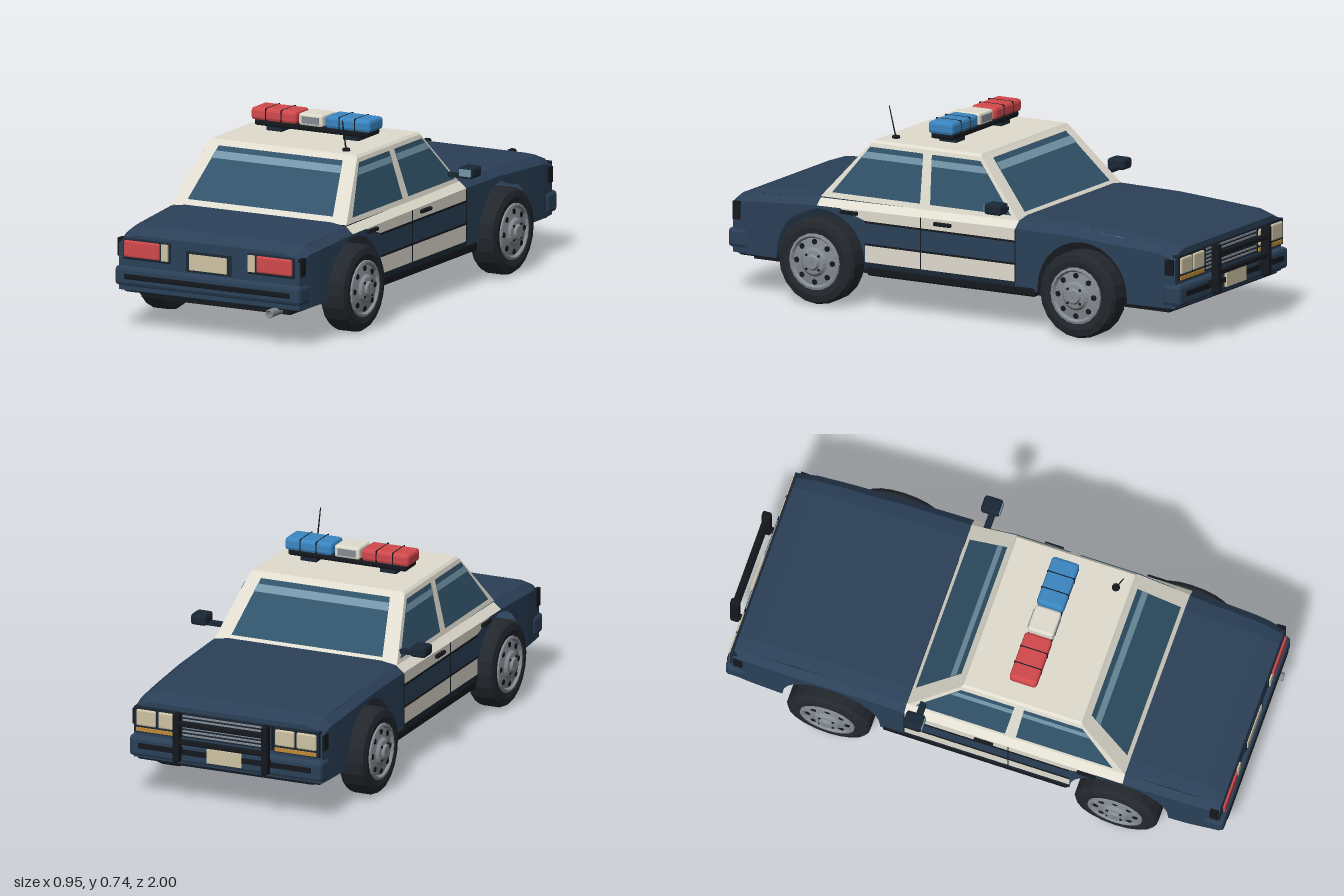
import * as THREE from 'three';
import { RoundedBoxGeometry } from 'three/addons/geometries/RoundedBoxGeometry.js';

const NAVY = 0x2b4058, DARK = 0x1a2735, BLACK = 0x14181d, WHITE = 0xe0dccf, GLASS = 0x31536a,
  SHINE = 0x7396a9, CREAM = 0xcfc3a4, RED = 0xd2494c, BLUE = 0x3a86c2, GREY = 0x858c92, AMBER = 0xc08a35;

const mats = {};
const mat = (color) => (mats[color] ??= new THREE.MeshStandardMaterial({ color, flatShading: true, side: THREE.DoubleSide }));

// Piecewise linear lookup in [position, value] pairs
function lookup(pts, t) {
  let i = 1;
  while (i < pts.length - 1 && t > pts[i][0]) i++;
  const [a, b] = [pts[i - 1], pts[i]];
  return THREE.MathUtils.lerp(a[1], b[1], THREE.MathUtils.clamp((t - a[0]) / (b[0] - a[0]), 0, 1));
}

export function createModel() {
  const car = new THREE.Group();
  car.name = 'patrolCar';

  const add = (name, color, geo, x = 0, y = 0, z = 0, parent = car) => {
    const m = new THREE.Mesh(geo, mat(color));
    m.name = name;
    m.position.set(x, y, z);
    parent.add(m);
    return m;
  };
  // Box given by its limits; c > 0 chamfers its edges
  const box = (name, color, [x0, x1], [y0, y1], [z0, z1], c = 0) => {
    const s = [x1 - x0, y1 - y0, z1 - z0];
    const geo = c ? new RoundedBoxGeometry(...s, 1, c) : new THREE.BoxGeometry(...s);
    return add(name, color, geo, (x0 + x1) / 2, (y0 + y1) / 2, (z0 + z1) / 2);
  };
  const boxPair = (name, color, [x0, x1], y, z, c) => {
    box(name + 'Left', color, [x0, x1], y, z, c);
    box(name + 'Right', color, [-x1, -x0], y, z, c);
  };
  // Faceted surface through rows of points
  const skin = (name, color, rows) => {
    const p = [];
    for (let i = 0; i + 1 < rows.length; i++)
      for (let j = 0; j + 1 < rows[i].length; j++) {
        const a = rows[i][j], b = rows[i][j + 1], c = rows[i + 1][j + 1], d = rows[i + 1][j];
        p.push(...a, ...b, ...c, ...a, ...c, ...d);
      }
    const geo = new THREE.BufferGeometry();
    geo.setAttribute('position', new THREE.Float32BufferAttribute(p, 3));
    geo.computeVertexNormals();
    return add(name, color, geo);
  };
  const flip = (rows) => rows.map((r) => r.map(([x, y, z]) => [-x, y, z]).reverse());
  const skinPair = (name, color, rows) => {
    skin(name + 'Left', color, rows);
    skin(name + 'Right', color, flip(rows));
  };

  // Curves that run along the body
  const AXLES = [0.585, -0.535], ARCH = 0.19, FRONT = -0.925, REAR = 0.97, DOOR0 = -0.25, DOOR1 = 0.393, CAB = 0.6;
  const width = (z) => lookup([[FRONT, 0.382], [-0.8, 0.392], [-0.25, 0.4], [0.6, 0.4], [0.85, 0.393], [REAR, 0.382]], z);
  const topY = (z) => lookup([[FRONT, 0.368], [-0.85, 0.39], [-0.5, 0.412], [-0.25, 0.415], [0.6, 0.405], [0.9, 0.385], [REAR, 0.36]], z);
  const side = (f) => (z) => [width(z), f(z), z];
  const bottom = side((z) => {
    const d = Math.min(...AXLES.map((a) => Math.abs(z - a)));
    return d > ARCH + 1e-6 ? 0.15 : 0.17 + Math.sqrt(Math.max(0, ARCH * ARCH - d * d));
  });
  const shoulder = side((z) => topY(z) - 0.035);
  const topEdge = (z) => [width(z) - 0.03, topY(z) - 0.01, z];
  const level = (y) => side(() => y);
  const sweep = side((z) => Math.min(topY(z) - 0.035, 0.335 + 0.33 * (z - DOOR1)));

  const stations = [FRONT, -0.85, -0.5, DOOR0, DOOR1, 0.5, CAB, 0.85, 0.9, REAR];
  for (const a of AXLES) {
    for (let k = 0; k <= 14; k++) stations.push(a + ARCH * Math.cos((Math.PI * k) / 14));
    stations.push(a - ARCH - 0.001, a + ARCH + 0.001);
  }
  stations.sort((a, b) => a - b);
  const band = (name, color, z0, z1, lower, upper) => {
    const zs = stations.filter((z) => z >= z0 && z <= z1);
    skinPair(name, color, [zs.map(lower), zs.map(upper)]);
  };

  // Body sides with open wheel arches
  band('frontFender', NAVY, FRONT, DOOR0, bottom, shoulder);
  band('frontFenderShoulder', NAVY, FRONT, DOOR0, shoulder, topEdge);
  band('doorSill', DARK, DOOR0, DOOR1, bottom, level(0.18));
  band('doorLower', WHITE, DOOR0, DOOR1, level(0.18), level(0.245));
  band('doorStripe', NAVY, DOOR0, DOOR1, level(0.245), level(0.335));
  band('doorUpper', WHITE, DOOR0, DOOR1, level(0.335), shoulder);
  band('quarterPanel', NAVY, DOOR1, CAB, bottom, sweep);
  band('quarterSweep', WHITE, DOOR1, CAB, sweep, shoulder);
  band('beltline', WHITE, DOOR0, CAB, shoulder, topEdge);
  band('rearFender', NAVY, CAB, REAR, bottom, shoulder);
  band('rearFenderShoulder', NAVY, CAB, REAR, shoulder, topEdge);

  // Hood and trunk lid, slightly crowned, and the end panels
  const deck = (z) => [topEdge(z), [0.31, topY(z), z], [-0.31, topY(z), z], ...flip([[topEdge(z)]])[0]];
  skin('hood', NAVY, [DOOR0, -0.5, -0.85, FRONT].map(deck));
  skin('trunkLid', NAVY, [REAR, 0.9, CAB].map(deck));
  for (const [name, z] of [['nosePanel', FRONT], ['tailPanel', REAR]]) {
    const col = [bottom(z), shoulder(z), topEdge(z), [0.31, topY(z), z]];
    skin(name, NAVY, [col, col.map(([x, y, w]) => [-x, y, w])]);
  }

  // Underside
  box('floorPan', BLACK, [-0.315, 0.315], [0.117, 0.15], [-0.86, 0.92]);
  box('rearValance', DARK, [-0.375, 0.375], [0.138, 0.18], [0.78, 0.955], 0.012);
  box('frontValance', DARK, [-0.375, 0.375], [0.138, 0.18], [-0.92, -0.73], 0.012);
  boxPair('rockerRail', BLACK, [0.37, 0.402], [0.13, 0.165], [-0.335, 0.385], 0.008);

  // Cabin
  const frontZ = (y) => -0.25 + ((y - 0.4) / 0.22) * 0.2;
  const rearZ = (y) => 0.6 - ((y - 0.4) / 0.22) * 0.19;
  const cabX = (y) => 0.372 - ((y - 0.4) / 0.22) * 0.06;
  const ring = (y) => [[1, frontZ], [1, rearZ], [-1, rearZ], [-1, frontZ], [1, frontZ]].map(([s, f]) => [s * cabX(y), y, f(y)]);
  skin('cabinFrame', WHITE, [0.4, 0.612].map(ring));
  const roofRim = ring(0.612), roofTop = roofRim.map(([x, , z]) => [x * 0.97, 0.621, 0.18 + (z - 0.18) * 0.97]);
  skin('roofEdge', WHITE, [roofRim, roofTop]);
  skin('roof', WHITE, [[roofTop[0], roofTop[1]], [roofTop[3], roofTop[2]]]);

  // Windows: each is a pane plus a pale reflection stripe
  const pane = (make, name, place, lo, hi) => {
    const strip = (ys, off) => ys.map((y) => [place(lookup(lo, y), y, off), place(lookup(hi, y), y, off)]);
    make(name, GLASS, strip([0.42, 0.598], 0.004));
    make(name + 'Shine', SHINE, strip([0.556, 0.58], 0.006));
  };
  const half = (s) => [[0.42, s * 0.307], [0.598, s * 0.262]];
  pane(skin, 'windshield', (x, y, o) => [x, y + o, frontZ(y) - o], half(-1), half(1));
  pane(skin, 'rearWindow', (x, y, o) => [x, y + o, rearZ(y) + o], half(-1), half(1));
  const onSide = (z, y, o) => [cabX(y) + o, y, z];
  pane(skinPair, 'frontSideWindow', onSide, [[0.42, -0.215], [0.598, -0.055]], [[0.42, 0.132], [0.598, 0.153]]);
  pane(skinPair, 'rearSideWindow', onSide, [[0.42, 0.175], [0.598, 0.19]], [[0.42, 0.552], [0.598, 0.417]]);

  // Door trim, seams and handles
  for (const y of [0.244, 0.328]) boxPair('doorTrim', BLACK, [0.398, 0.403], [y, y + 0.007], [DOOR0, DOOR1]);
  for (const z of [-0.25, 0.155]) boxPair('doorSeam', BLACK, [0.398, 0.402], [0.18, 0.375], [z - 0.002, z + 0.002]);
  for (const z of [0.06, 0.46]) boxPair('doorHandle', BLACK, [0.395, 0.412], [0.352, 0.366], [z - 0.037, z + 0.037], 0.004);

  // Wing mirrors
  boxPair('mirrorArm', DARK, [0.355, 0.44], [0.434, 0.449], [-0.2, -0.175]);
  boxPair('mirrorHousing', DARK, [0.415, 0.477], [0.438, 0.48], [-0.232, -0.16], 0.01);
  boxPair('mirrorGlass', SHINE, [0.422, 0.47], [0.446, 0.473], [-0.165, -0.157]);

  // Tail
  box('rearBumper', NAVY, [-0.392, 0.392], [0.168, 0.242], [0.9, 0.988], 0.014);
  box('rearBumperStrip', BLACK, [-0.35, 0.35], [0.195, 0.215], [0.98, 0.992], 0.004);
  boxPair('tailLightBezel', DARK, [0.162, 0.362], [0.267, 0.347], [0.955, 0.976], 0.006);
  boxPair('tailLight', RED, [0.205, 0.355], [0.277, 0.34], [0.96, 0.984], 0.006);
  boxPair('reverseLight', CREAM, [0.169, 0.198], [0.277, 0.34], [0.96, 0.982]);
  box('rearPlateFrame', DARK, [-0.095, 0.095], [0.248, 0.325], [0.955, 0.976]);
  box('rearPlate', CREAM, [-0.079, 0.079], [0.256, 0.316], [0.96, 0.98]);
  boxPair('rearSideMarker', BLACK, [0.375, 0.389], [0.275, 0.343], [0.935, 0.968]);
  const pipe = add('exhaustPipe', GREY, new THREE.CylinderGeometry(0.016, 0.016, 0.12, 12, 1, true), 0.27, 0.132, 0.94);
  pipe.rotation.x = Math.PI / 2;
  add('exhaustRim', GREY, new THREE.TorusGeometry(0.014, 0.003, 6, 12), 0.27, 0.132, 0.997);

  // Nose
  box('frontBumper', NAVY, [-0.392, 0.392], [0.16, 0.24], [-0.952, -0.87], 0.014);
  box('frontBumperStrip', BLACK, [-0.35, 0.35], [0.195, 0.215], [-0.957, -0.945]);
  box('frontPlate', CREAM, [-0.07, 0.07], [0.178, 0.232], [-0.962, -0.95]);
  box('grille', DARK, [-0.185, 0.185], [0.256, 0.35], [-0.936, -0.915]);
  for (let i = 0; i < 6; i++) box('grilleSlat', GREY, [-0.178, 0.178], [0.264 + i * 0.0145, 0.27 + i * 0.0145], [-0.941, -0.93]);
  boxPair('headlightBezel', DARK, [0.19, 0.376], [0.252, 0.35], [-0.937, -0.91]);
  boxPair('headlightInner', CREAM, [0.198, 0.277], [0.278, 0.341], [-0.944, -0.92], 0.006);
  boxPair('headlightOuter', CREAM, [0.286, 0.366], [0.278, 0.341], [-0.944, -0.92], 0.006);
  boxPair('turnSignal', AMBER, [0.198, 0.366], [0.257, 0.271], [-0.942, -0.92]);
  boxPair('frontSideMarker', BLACK, [0.375, 0.39], [0.275, 0.335], [-0.92, -0.885]);

  // Push bar
  boxPair('pushBarUpright', BLACK, [0.167, 0.193], [0.175, 0.365], [-1, -0.965], 0.007);
  boxPair('pushBarBracket', BLACK, [0.172, 0.188], [0.2, 0.225], [-0.975, -0.94]);
  for (const y of [0.245, 0.315]) box('pushBarRail', BLACK, [-0.18, 0.18], [y, y + 0.02], [-0.995, -0.975], 0.005);

  // Roof light bar
  boxPair('lightBarFoot', DARK, [0.13, 0.195], [0.615, 0.642], [0.125, 0.195]);
  box('lightBarBase', BLACK, [-0.24, 0.24], [0.638, 0.662], [0.112, 0.208], 0.008);
  box('redBeacon', RED, [-0.252, -0.06], [0.658, 0.706], [0.107, 0.213], 0.012);
  box('blueBeacon', BLUE, [0.06, 0.252], [0.658, 0.706], [0.107, 0.213], 0.012);
  box('centreLamp', WHITE, [-0.051, 0.051], [0.658, 0.704], [0.11, 0.21], 0.008);
  for (const z of [0.11, 0.21]) box('centreLampLens', GREY, [-0.036, 0.036], [0.668, 0.694], [z - 0.003, z + 0.003]);
  for (const x of [0.122, 0.188]) boxPair('beaconDivider', BLACK, [x - 0.002, x + 0.002], [0.66, 0.707], [0.106, 0.214], 0.001);

  // Antenna
  add('antennaBase', BLACK, new THREE.CylinderGeometry(0.014, 0.016, 0.012, 10), 0.235, 0.624, 0.358);
  const mast = add('antennaMast', BLACK, new THREE.CylinderGeometry(0.002, 0.003, 0.122, 6), 0.235, 0.681, 0.373);
  mast.rotation.x = 0.24;

  // Wheels, modelled with the outside facing up and then turned outwards
  const tyre = new THREE.LatheGeometry([[0.001, -0.05], [0.13, -0.052], [0.154, -0.048], [0.163, -0.034], [0.163, 0.034], [0.154, 0.048],
    [0.13, 0.054], [0.108, 0.05], [0.1, 0.036]].map((p) => new THREE.Vector2(...p)), 20);
  const hub = new THREE.LatheGeometry([[0.108, 0.04], [0.106, 0.056], [0.097, 0.058], [0.09, 0.048], [0.055, 0.054], [0.045, 0.064],
    [0.03, 0.066], [0.024, 0.075], [0.001, 0.075]].map((p) => new THREE.Vector2(...p)), 20);
  const slot = new THREE.CylinderGeometry(0.011, 0.011, 0.008, 8), nut = new THREE.CylinderGeometry(0.005, 0.005, 0.01, 6);
  for (const z of AXLES)
    for (const s of [1, -1]) {
      const wheel = new THREE.Group();
      wheel.name = (z > 0 ? 'rear' : 'front') + 'Wheel' + (s > 0 ? 'Left' : 'Right');
      wheel.position.set(s * 0.39, 0.167, z);
      wheel.rotation.z = (-s * Math.PI) / 2;
      car.add(wheel);
      add('tyre', 0x23282e, tyre, 0, 0, 0, wheel);
      add('hubcap', GREY, hub, 0, 0, 0, wheel);
      for (let k = 0; k < 8; k++) {
        const a = (k * Math.PI) / 4, c = Math.cos(a), d = Math.sin(a);
        add('hubSlot', BLACK, slot, 0.076 * c, 0.049, 0.076 * d, wheel);
        if (k % 2) add('wheelNut', BLACK, nut, 0.037 * c, 0.064, 0.037 * d, wheel);
      }
    }
  return car;
}
